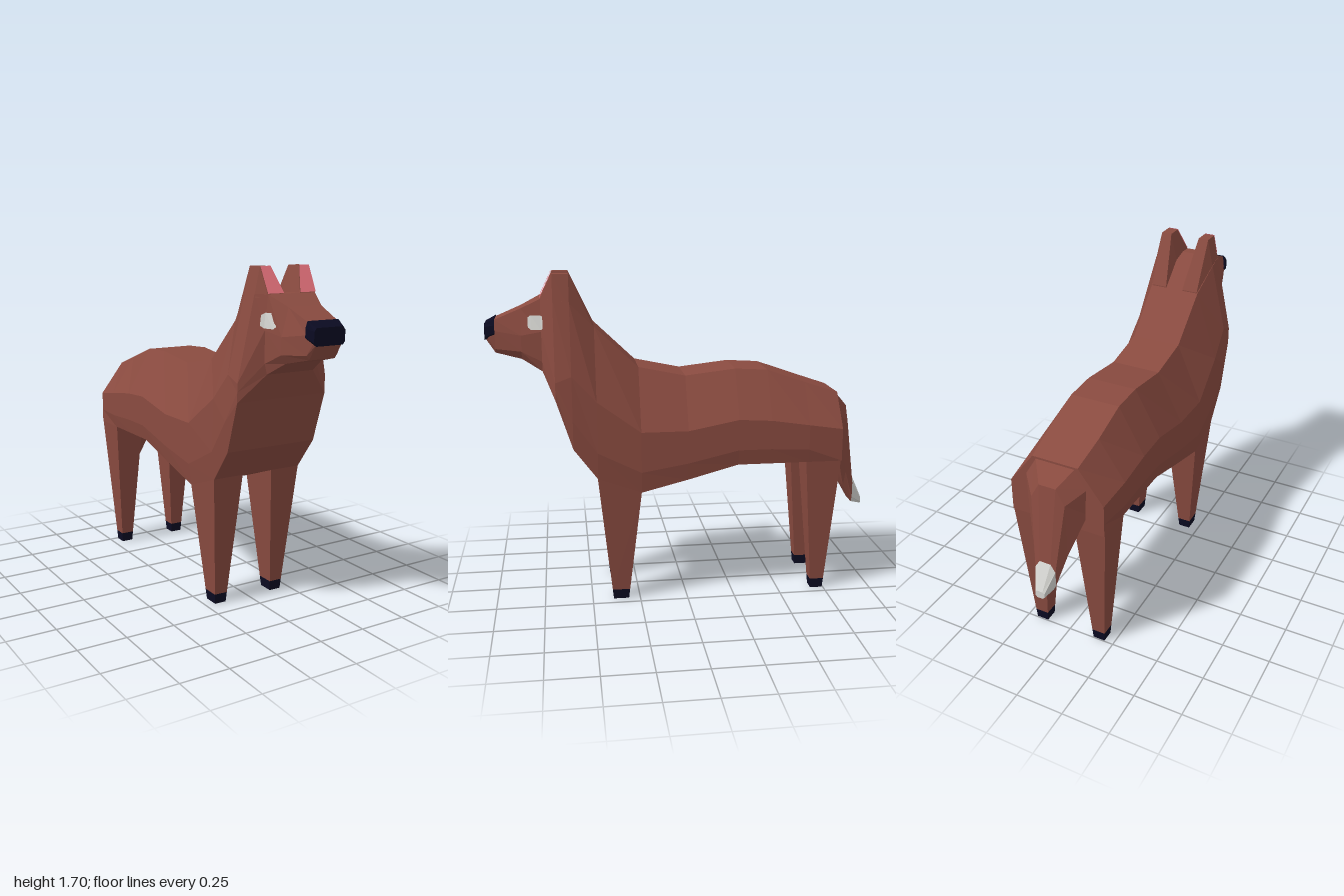
import * as THREE from 'three';

const mat = (name, color, side = THREE.FrontSide) => {
  const m = new THREE.MeshStandardMaterial({ color, side, flatShading: true });
  m.name = name;
  return m;
};

// Skin a list of rings, ordered front to back, each clockwise seen from the front
function loft(rings) {
  const out = [], n = rings[0].length, last = rings.length - 1;
  const tri = (a, b, c) => out.push(...a, ...b, ...c);
  for (let i = 0; i < last; i++) {
    for (let j = 0; j < n; j++) {
      const k = (j + 1) % n;
      tri(rings[i][j], rings[i][k], rings[i + 1][k]);
      tri(rings[i][j], rings[i + 1][k], rings[i + 1][j]);
    }
  }
  for (let j = 1; j < n - 1; j++) {
    tri(rings[0][0], rings[0][j + 1], rings[0][j]);
    tri(rings[last][0], rings[last][j], rings[last][j + 1]);
  }
  return toGeometry(out);
}

function toGeometry(positions) {
  const g = new THREE.BufferGeometry();
  g.setAttribute('position', new THREE.Float32BufferAttribute(positions, 3));
  g.computeVertexNormals();
  return g;
}

// Complete a half section [z, [x, y], ...] (top to bottom) by mirroring it
const ring = ([z, ...pts]) => [
  ...pts.map(([x, y]) => [x, y, z]),
  ...pts.slice().reverse().map(([x, y]) => [-x, y, z]),
];

const HEAD = [
  [0.995, [0.072, 1.45], [0.08, 1.43], [0.075, 1.4], [0.07, 1.38]],
  [0.95, [0.08, 1.475], [0.088, 1.42], [0.085, 1.33], [0.07, 1.31]],
  [0.82, [0.09, 1.53], [0.125, 1.4], [0.125, 1.32], [0.1, 1.28]],
  [0.72, [0.13, 1.58], [0.145, 1.42], [0.143, 1.27], [0.13, 1.22]],
];
const TRUNK = [
  [0.66, [0.162, 1.58], [0.25, 1.18], [0.25, 1.14], [0.25, 1.09]],
  [0.58, [0.167, 1.56], [0.25, 1.21], [0.265, 0.99], [0.25, 0.84]],
  [0.46, [0.135, 1.44], [0.255, 1.08], [0.265, 0.82], [0.25, 0.68]],
  [0.24, [0.13, 1.23], [0.265, 0.92], [0.265, 0.71], [0.25, 0.6]],
  [0, [0.13, 1.18], [0.265, 0.92], [0.265, 0.75], [0.25, 0.66]],
  [-0.26, [0.13, 1.21], [0.265, 0.97], [0.265, 0.81], [0.25, 0.73]],
  [-0.43, [0.13, 1.2], [0.265, 0.96], [0.265, 0.81], [0.25, 0.73]],
  [-0.63, [0.13, 1.13], [0.265, 0.93], [0.265, 0.8], [0.25, 0.73]],
  [-0.81, [0.12, 1.07], [0.25, 0.9], [0.25, 0.8], [0.25, 0.73]],
];
const TAIL = [
  [-0.8, [0.11, 1.07], [0.17, 0.97], [0.16, 0.82], [0.08, 0.73]],
  [-0.885, [0.045, 0.98], [0.09, 0.9], [0.095, 0.62], [0.06, 0.53]],
  [-0.94, [0.03, 0.58], [0.055, 0.54], [0.055, 0.46], [0.04, 0.43]],
  [-1, [0.015, 0.45], [0.025, 0.44], [0.025, 0.42], [0.015, 0.41]],
];

// Half width of the head side at a given depth and height
function sideX(z, y) {
  const rows = [HEAD[2], HEAD[3], TRUNK[0]];
  const i = z > rows[1][0] ? 0 : 1;
  const at = ([, a, b]) => THREE.MathUtils.mapLinear(y, a[1], b[1], a[0], b[0]);
  return THREE.MathUtils.mapLinear(z, rows[i][0], rows[i + 1][0], at(rows[i]), at(rows[i + 1]));
}

// Box whose corners are moved onto a leg taper; t is 0 at the floor, 1 at the body
function legGeometry(side, leg, y0, y1) {
  const g = new THREE.BoxGeometry(1, 1, 1).toNonIndexed();
  const p = g.attributes.position, mix = THREE.MathUtils.lerp;
  for (let i = 0; i < p.count; i++) {
    const front = p.getZ(i) > 0, outer = p.getX(i) * side > 0;
    const top = front ? leg.topFront : leg.topBack;
    const y = p.getY(i) > 0 ? (y1 ?? top[1]) : y0;
    const t = y / top[1];
    const x = outer ? mix(0.2, 0.25, t) : mix(0.137, 0.085, t);
    p.setXYZ(i, side * x, y, mix(front ? leg.footFront : leg.footBack, top[0], t));
  }
  g.computeVertexNormals();
  return g;
}

export function createModel() {
  const model = new THREE.Group();
  model.name = 'fourLeggedAnimal';
  const brown = mat('brownFur', 0x8a4b40);
  const navy = mat('darkNavy', 0x0b0b22);
  const pink = mat('pinkInnerEar', 0xe8747e, THREE.DoubleSide);
  const white = mat('paleGrey', 0xd6d6d2);
  const eyeWhite = mat('eyeGrey', 0xd6d6d2, THREE.DoubleSide);
  const add = (name, geometry, material) => {
    const m = new THREE.Mesh(geometry, material);
    m.name = name;
    model.add(m);
  };

  // Head, neck and trunk are one continuous skin
  add('body', loft([...HEAD, ...TRUNK].map(ring)), brown);
  add('tail', loft(TAIL.slice(0, 3).map(ring)), brown);
  add('tailTip', loft(TAIL.slice(2).map(ring)), white);

  // Nose pad wrapping the upper snout tip
  add('nose', loft([
    [1, [0.072, 1.455], [0.084, 1.44], [0.084, 1.39], [0.072, 1.375]],
    [0.95, [0.084, 1.481], [0.094, 1.45], [0.094, 1.41], [0.08, 1.395]],
  ].map(ring)), navy);

  const legs = {
    front: { topFront: [0.46, 0.68], topBack: [0.24, 0.6], footFront: 0.39, footBack: 0.31 },
    rear: { topFront: [-0.62, 0.73], topBack: [-0.805, 0.73], footFront: -0.68, footBack: -0.745 },
  };

  for (const side of [1, -1]) {
    const label = side > 0 ? 'Left' : 'Right';
    const flip = (pts) => (side > 0 ? pts : pts.map(([x, y, z]) => [-x, y, z]).reverse());

    // Legs and hooves
    for (const [end, leg] of Object.entries(legs)) {
      add(`${end}${label}Leg`, legGeometry(side, leg, 0.052), brown);
      add(`${end}${label}Hoof`, legGeometry(side, leg, 0, 0.052), navy);
    }

    // Ear wedge: inner top, outer top, outer base, inner base
    const ear = [
      [0.72, 0.045, 0.13, 1.58, 0.13, 1.57],
      [0.66, 0.08, 0.135, 1.7, 0.165, 1.56],
      [0.58, 0.08, 0.135, 1.7, 0.17, 1.54],
      [0.46, 0.05, 0.13, 1.445, 0.137, 1.43],
    ].map(([z, inner, outer, top, base, low]) =>
      flip([[inner, top, z], [outer, top, z], [base, low, z], [0.04, low, z]]));
    add(`ear${label}`, loft(ear), brown);

    // Pink plate on the sloping front of the ear
    const [a, b, c, d] = [
      [0.045, 1.583, 0.724], [0.132, 1.583, 0.724], [0.135, 1.702, 0.664], [0.08, 1.702, 0.664],
    ].map(([x, y, z]) => [side * x, y, z]);
    add(`innerEar${label}`, toGeometry([a, b, c, a, c, d].flat()), pink);

    // Eye patch following the side of the head
    const cols = [[0.704, 0.024], [0.72, 0.035], [0.77, 0.035], [0.784, 0.024]];
    const eye = [];
    const pt = (z, y) => [side * (sideX(z, y) + 0.005), y, z];
    for (let i = 0; i < cols.length - 1; i++) {
      const [[z0, h0], [z1, h1]] = [cols[i], cols[i + 1]];
      const q = [pt(z0, 1.465 - h0), pt(z0, 1.465 + h0), pt(z1, 1.465 + h1), pt(z1, 1.465 - h1)];
      if (side < 0) q.reverse();
      eye.push(q[0], q[1], q[2], q[0], q[2], q[3]);
    }
    add(`eye${label}`, toGeometry(eye.flat()), eyeWhite);
  }
  return model;
}
